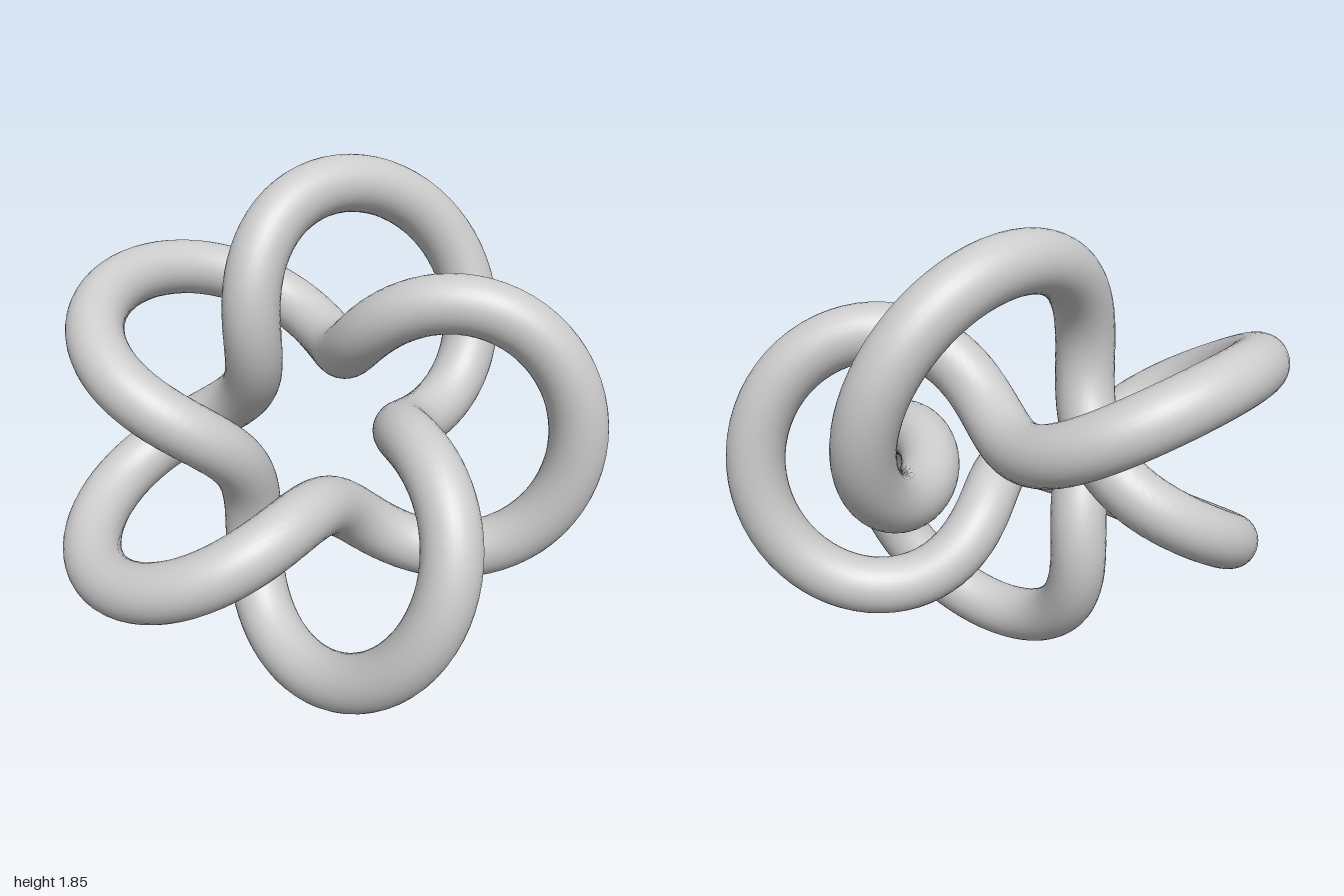
import * as THREE from 'three';

export function createModel() {
  const model = new THREE.Group();
  model.name = 'knotSculpture';

  // Five-lobed torus knot: twice around the ring, five times through the hole
  const knot = new THREE.Mesh(
    new THREE.TorusKnotGeometry(0.636, 0.107, 320, 32, 2, 5),
    new THREE.MeshStandardMaterial({ color: 0xcccccc })
  );
  knot.name = 'knot';

  // Top leans back; lifted to rest on the ground
  knot.rotation.x = -0.66;
  knot.position.set(-0.061, 0.927, 0);
  model.add(knot);

  return model;
}
